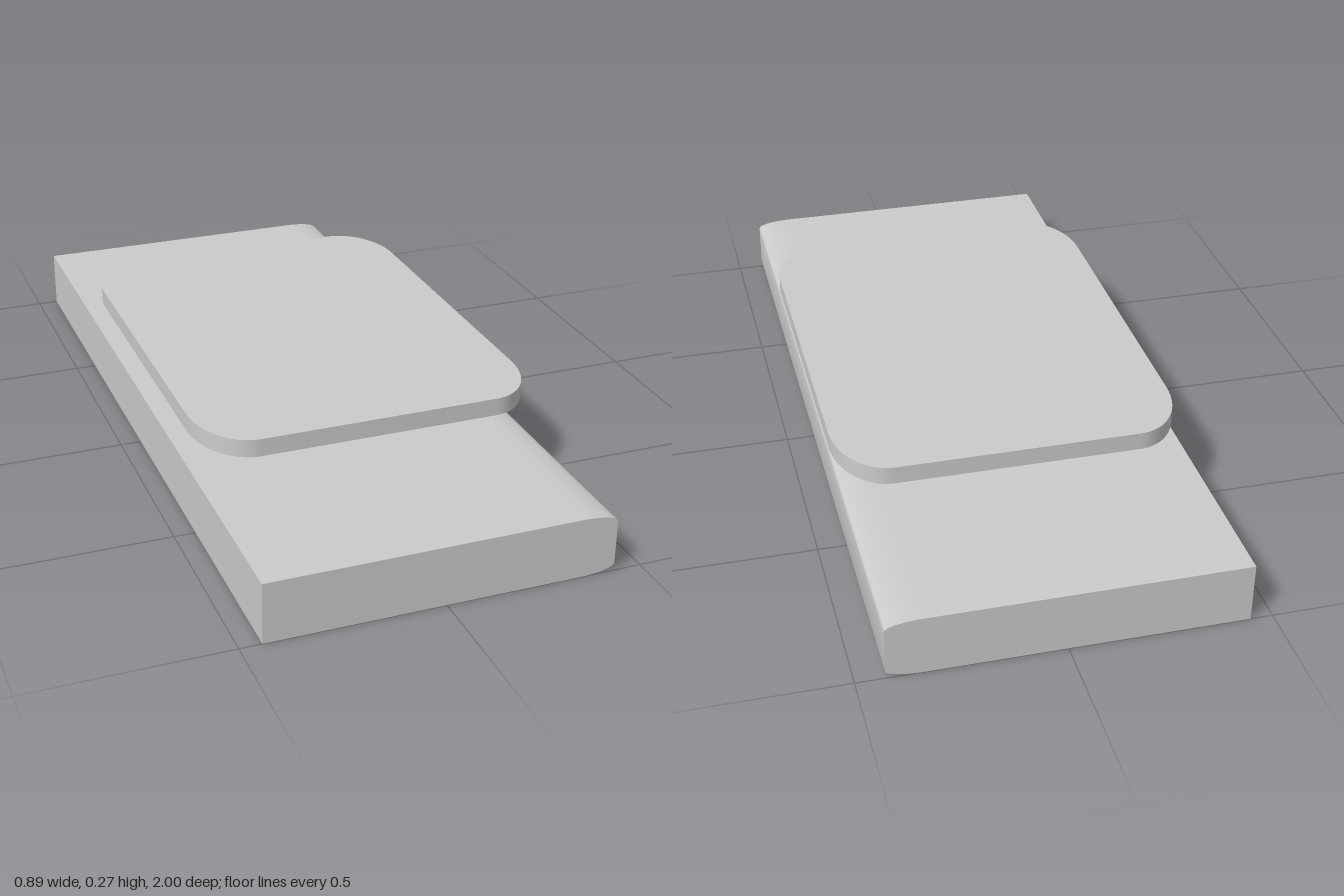
import * as THREE from 'three';
import { toCreasedNormals } from 'three/addons/utils/BufferGeometryUtils.js';

const material = new THREE.MeshStandardMaterial({ color: 0xcccccc, side: THREE.DoubleSide });

function addPart(group, name, geometry) {
  const mesh = new THREE.Mesh(toCreasedNormals(geometry, 0.6), material);
  mesh.name = name;
  group.add(mesh);
  return mesh;
}

export function createModel() {
  const group = new THREE.Group();
  group.name = 'padOnSlab';

  // Long slab, square on one side and softly rounded on the other
  const h = 0.155;
  const section = new THREE.Shape();
  section.moveTo(-0.445, 0);
  section.lineTo(0.34, 0);
  section.bezierCurveTo(0.385, 0, 0.43, 0.009, 0.43, 0.021);
  section.lineTo(0.43, h - 0.021);
  section.bezierCurveTo(0.43, h - 0.009, 0.385, h, 0.34, h);
  section.lineTo(-0.445, h);
  section.closePath();
  const slab = new THREE.ExtrudeGeometry(section, { depth: 2, bevelEnabled: false, curveSegments: 14 });
  slab.translate(0, 0, -1);
  addPart(group, 'baseSlab', slab);

  // Oval bowl-shaped support, widening upwards
  const profile = [[0.865, 0.15], [0.9, 0.172], [0.95, 0.197], [0.98, 0.214], [1, 0.232]]
    .map(([r, y]) => new THREE.Vector2(r, y));
  const bowl = new THREE.LatheGeometry(profile, 48);
  bowl.scale(0.234, 1, 0.37);
  bowl.translate(-0.048, 0, 0);
  addPart(group, 'ovalSupport', bowl);

  // Flat pad with elliptical corners
  const a = 0.4375, b = 0.581, rx = 0.13, rz = 0.185;
  const outline = new THREE.Shape();
  const corners = [[1, 1], [-1, 1], [-1, -1], [1, -1]];
  corners.forEach(([sx, sz], i) => {
    outline.absellipse(sx * (a - rx), sz * (b - rz), rx, rz,
      i * Math.PI / 2, (i + 1) * Math.PI / 2, false, 0);
  });
  outline.closePath();
  const pad = new THREE.ExtrudeGeometry(outline, { depth: 0.046, bevelEnabled: false, curveSegments: 8 });
  pad.rotateX(-Math.PI / 2);
  pad.translate(0.0075, 0.227, 0);
  addPart(group, 'topPad', pad);

  return group;
}
